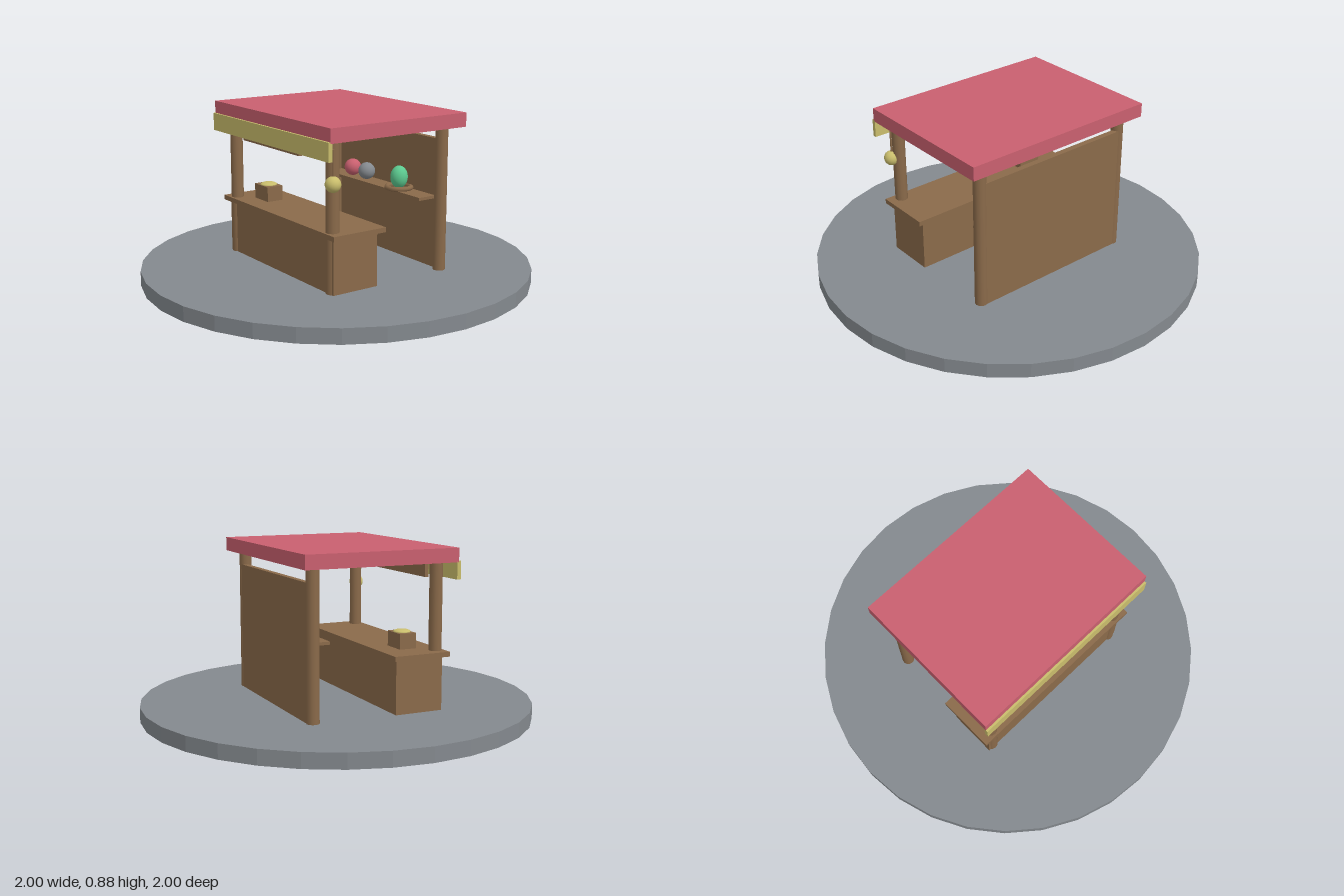
import * as THREE from 'three';

const material = (name, color) => {
  const m = new THREE.MeshStandardMaterial({ color });
  m.name = name;
  return m;
};

export function createModel() {
  const model = new THREE.Group();
  model.name = 'marketStall';

  const wood = material('wood', 0x8a6a4a);
  const stone = material('stone', 0x84898e);
  const red = material('red', 0xc9606f);
  const gold = material('gold', 0xc9bd6c);
  const green = material('green', 0x5cc98f);

  const add = (name, geometry, mat, x, y, z) => {
    const mesh = new THREE.Mesh(geometry, mat);
    mesh.name = name;
    mesh.position.set(x, y, z);
    model.add(mesh);
    return mesh;
  };
  // Box given by its extents along each axis
  const box = (name, mat, [x0, x1], [y0, y1], [z0, z1]) =>
    add(name, new THREE.BoxGeometry(x1 - x0, y1 - y0, z1 - z0), mat,
      (x0 + x1) / 2, (y0 + y1) / 2, (z0 + z1) / 2);
  const ball = (name, mat, r, x, y, z, stretch = 1) => {
    const mesh = add(name, new THREE.SphereGeometry(r, 20, 14), mat, x, y, z);
    mesh.scale.y = stretch;
    return mesh;
  };

  // Faceted round base
  const disc = new THREE.CylinderGeometry(1, 1, 0.075, 32).toNonIndexed();
  disc.computeVertexNormals();
  add('base', disc, stone, 0, 0.0375, 0);

  // Four corner posts
  for (const x of [-0.437, 0.437])
    for (const z of [-0.325, 0.328])
      add('post', new THREE.CylinderGeometry(0.032, 0.032, 0.735, 12), wood, x, 0.4425, z);

  // Counter, back wall and shelf
  box('counterBody', wood, [-0.473, 0.473], [0.075, 0.348], [0.095, 0.348]);
  box('counterTop', wood, [-0.508, 0.508], [0.346, 0.37], [0.07, 0.37]);
  box('backWall', wood, [-0.44, 0.44], [0.075, 0.737], [-0.353, -0.323]);
  box('shelf', wood, [-0.4, 0.4], [0.434, 0.449], [-0.325, -0.22]);

  // Roof, front valance and the board hanging behind it
  box('roof', red, [-0.527, 0.527], [0.805, 0.875], [-0.4, 0.4]);
  box('valance', gold, [-0.527, 0.527], [0.722, 0.812], [0.391, 0.411]);
  box('signBoard', wood, [-0.255, 0.255], [0.706, 0.8], [0.372, 0.392]);

  // Goods on the shelf
  ball('redBall', red, 0.045, -0.22, 0.495, -0.268);
  ball('greyBall', stone, 0.045, -0.095, 0.495, -0.268);
  ball('egg', green, 0.045, 0.18, 0.511, -0.268, 1.3);
  const nest = add('nest', new THREE.TorusGeometry(0.062, 0.013, 8, 24), wood, 0.18, 0.458, -0.268);
  nest.rotation.x = Math.PI / 2;

  // Crate with a golden heap on the counter
  box('crate', wood, [-0.36, -0.234], [0.37, 0.447], [0.176, 0.266]);
  ball('goldHeap', gold, 0.044, -0.297, 0.448, 0.221, 0.3);

  // Hanging lantern
  ball('lantern', gold, 0.038, 0.47, 0.605, 0.348);
  add('lanternCord', new THREE.CylinderGeometry(0.005, 0.005, 0.13, 8), wood, 0.47, 0.7, 0.345);

  return model;
}
